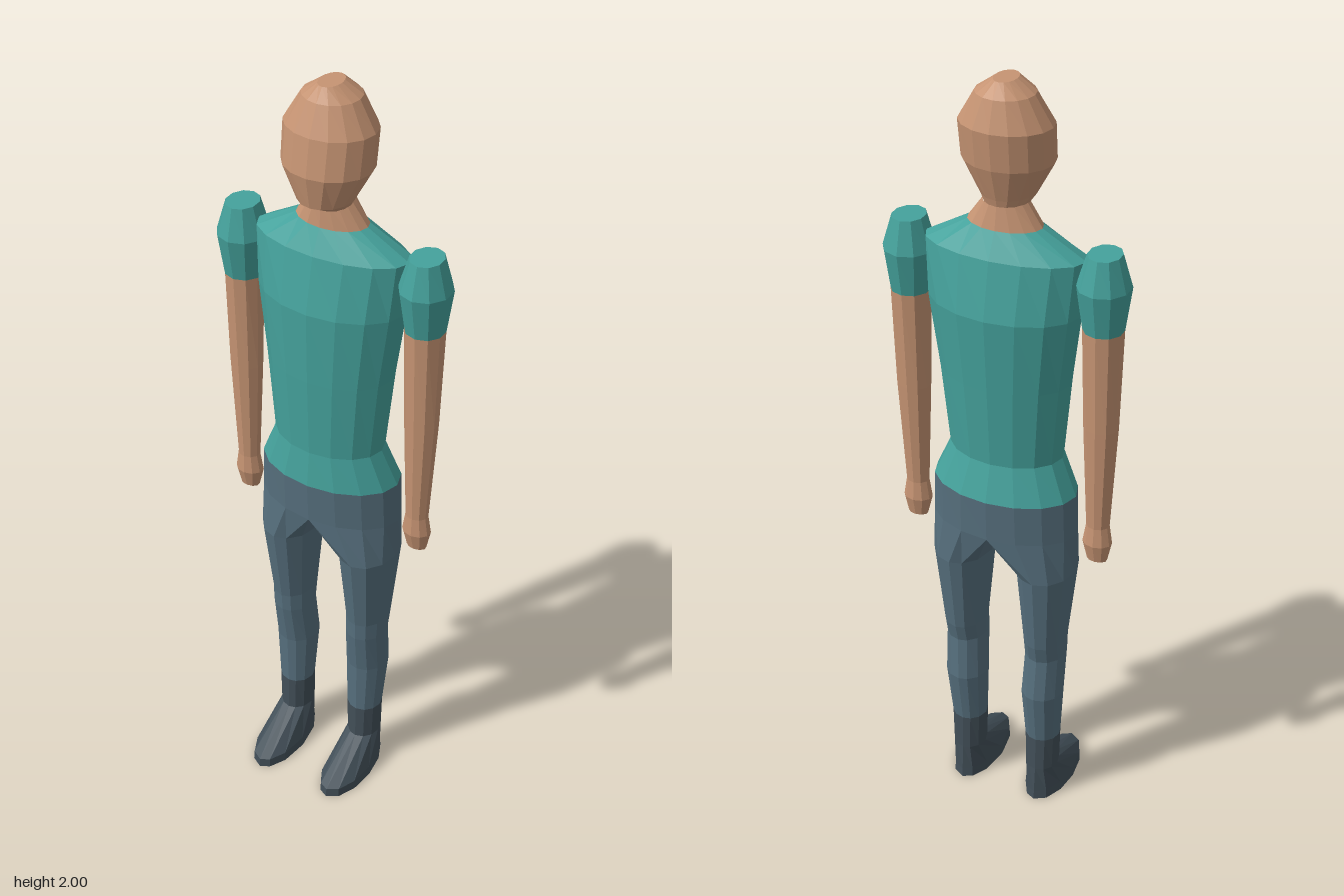
import * as THREE from 'three';

const material = (name, color) => {
  const m = new THREE.MeshStandardMaterial({ color, flatShading: true });
  m.name = name;
  return m;
};

// Elliptical ring of points: height, x range, z range, angles in degrees
function ring(y, x0, x1, z0, z1, angles) {
  return angles.map((deg) => {
    const a = THREE.MathUtils.degToRad(deg);
    return new THREE.Vector3(
      (x0 + x1) / 2 + ((x1 - x0) / 2) * Math.cos(a), y,
      (z0 + z1) / 2 + ((z1 - z0) / 2) * Math.sin(a));
  });
}

const evenAngles = (n) => Array.from({ length: n }, (_, i) => (i * 360) / n);

// Rings centred on x = 0, from rows of [y, half width, back z, front z]
const bodyRings = (rows, n) => rows.map(([y, r, z0, z1]) => ring(y, -r, r, z0, z1, evenAngles(n)));

// Rings from rows of [y, inner x, outer x, back z, front z]
const limbRings = (rows, angles) => rows.map((r) => ring(...r, angles));

// Mirror rings across x = 0, reversing their order to keep faces outward
const mirror = (rings) => rings.map((r) => r.map((p) => new THREE.Vector3(-p.x, p.y, p.z)).reverse());

// Skin a list of rings, top to bottom, with optional end caps
function loft(name, mat, rings, capTop = false, capBottom = false) {
  const pos = [];
  const tri = (...pts) => pts.forEach((p) => pos.push(p.x, p.y, p.z));
  const n = rings[0].length;
  const middle = (r) => r.reduce((s, p) => s.add(p), new THREE.Vector3()).divideScalar(n);
  for (let k = 0; k < rings.length - 1; k++) {
    const a = rings[k], b = rings[k + 1];
    for (let i = 0; i < n; i++) {
      const j = (i + 1) % n;
      tri(b[i], a[i], a[j]);
      tri(b[i], a[j], b[j]);
    }
  }
  const top = rings[0], bottom = rings[rings.length - 1];
  for (let i = 0; i < n; i++) {
    const j = (i + 1) % n;
    if (capTop) tri(middle(top), top[j], top[i]);
    if (capBottom) tri(middle(bottom), bottom[i], bottom[j]);
  }
  const geo = new THREE.BufferGeometry();
  geo.setAttribute('position', new THREE.Float32BufferAttribute(pos, 3));
  geo.computeVertexNormals();
  const mesh = new THREE.Mesh(geo, mat);
  mesh.name = name;
  return mesh;
}

export function createModel() {
  const skin = material('skin', 0xc69473);
  const shirt = material('shirt teal', 0x45a29c);
  const trousers = material('trouser slate', 0x566f7d);
  const boots = material('boot grey', 0x424f58);
  const model = new THREE.Group();
  model.name = 'standingFigure';

  // Head and neck
  model.add(loft('head', skin, bodyRings([
    [2.0, 0.027, -0.075, 0.005],
    [1.97, 0.07, -0.105, 0.028],
    [1.9, 0.112, -0.127, 0.058],
    [1.81, 0.11, -0.117, 0.073],
    [1.73, 0.066, -0.092, 0.058],
    [1.705, 0.05, -0.085, 0.015],
  ], 16), true, true));
  model.add(loft('neck', skin, bodyRings([
    [1.715, 0.053, -0.09, 0.012],
    [1.66, 0.092, -0.1, 0.016],
  ], 16)));

  // Shirt body
  model.add(loft('shirtBody', shirt, bodyRings([
    [1.66, 0.092, -0.1, 0.016],
    [1.6, 0.2, -0.133, 0.047],
    [1.46, 0.19, -0.162, 0.076],
    [1.27, 0.165, -0.148, 0.073],
    [1.06, 0.145, -0.133, 0.066],
    [0.965, 0.186, -0.16, 0.076],
  ], 16)));

  // Hips, ending in a ring that the two legs share
  const hips = bodyRings([
    [0.965, 0.186, -0.16, 0.076],
    [0.855, 0.19, -0.156, 0.07],
  ], 16);
  model.add(loft('hips', trousers, hips));

  // Leg top: the outer half of the hip ring, closed along x = 0
  const hip = hips[1];
  const across = [0.25, 0.5, 0.75].map((t) => hip[4].clone().lerp(hip[12], t).setX(0));
  const legTop = [...hip.slice(0, 5), ...across, ...hip.slice(12)];
  const legAngles = [0, 30, 60, 90, 115, 145, 180, 215, 245, 270, 300, 330];

  const leg = [legTop, ...limbRings([
    [0.74, 0.04, 0.187, -0.137, 0.055],
    [0.52, 0.058, 0.165, -0.112, 0.026],
    [0.47, 0.058, 0.163, -0.1, 0.024],
    [0.35, 0.053, 0.162, -0.11, 0.008],
    [0.2, 0.06, 0.152, -0.09, 0.006],
  ], legAngles)];

  const boot = limbRings([
    [0.2, 0.06, 0.152, -0.09, 0.006],
    [0.1, 0.063, 0.149, -0.092, 0.008],
    [0.025, 0.049, 0.163, -0.098, 0.158],
    [0, 0.047, 0.165, -0.1, 0.16],
  ], legAngles);

  // Arms: ten-sided with a corner facing front and back
  const armAngles = evenAngles(10).map((a) => a - 18);
  const sleeve = limbRings([
    [1.63, 0.204, 0.284, -0.09, 0.005],
    [1.55, 0.18, 0.308, -0.111, 0.025],
    [1.44, 0.196, 0.294, -0.092, 0.006],
  ], armAngles);
  const forearm = limbRings([
    [1.44, 0.196, 0.294, -0.092, 0.006],
    [1.18, 0.203, 0.288, -0.08, -0.004],
    [0.9, 0.215, 0.273, -0.066, -0.014],
  ], armAngles);
  const hand = limbRings([
    [0.9, 0.215, 0.273, -0.066, -0.014],
    [0.85, 0.207, 0.281, -0.071, -0.011],
    [0.8, 0.219, 0.271, -0.059, -0.025],
  ], armAngles);

  for (const side of ['left', 'right']) {
    const place = (rings) => (side === 'left' ? rings : mirror(rings));
    model.add(
      loft(side + 'TrouserLeg', trousers, place(leg)),
      loft(side + 'Boot', boots, place(boot), false, true),
      loft(side + 'Sleeve', shirt, place(sleeve), true),
      loft(side + 'Forearm', skin, place(forearm)),
      loft(side + 'Hand', skin, place(hand), false, true));
  }
  return model;
}
